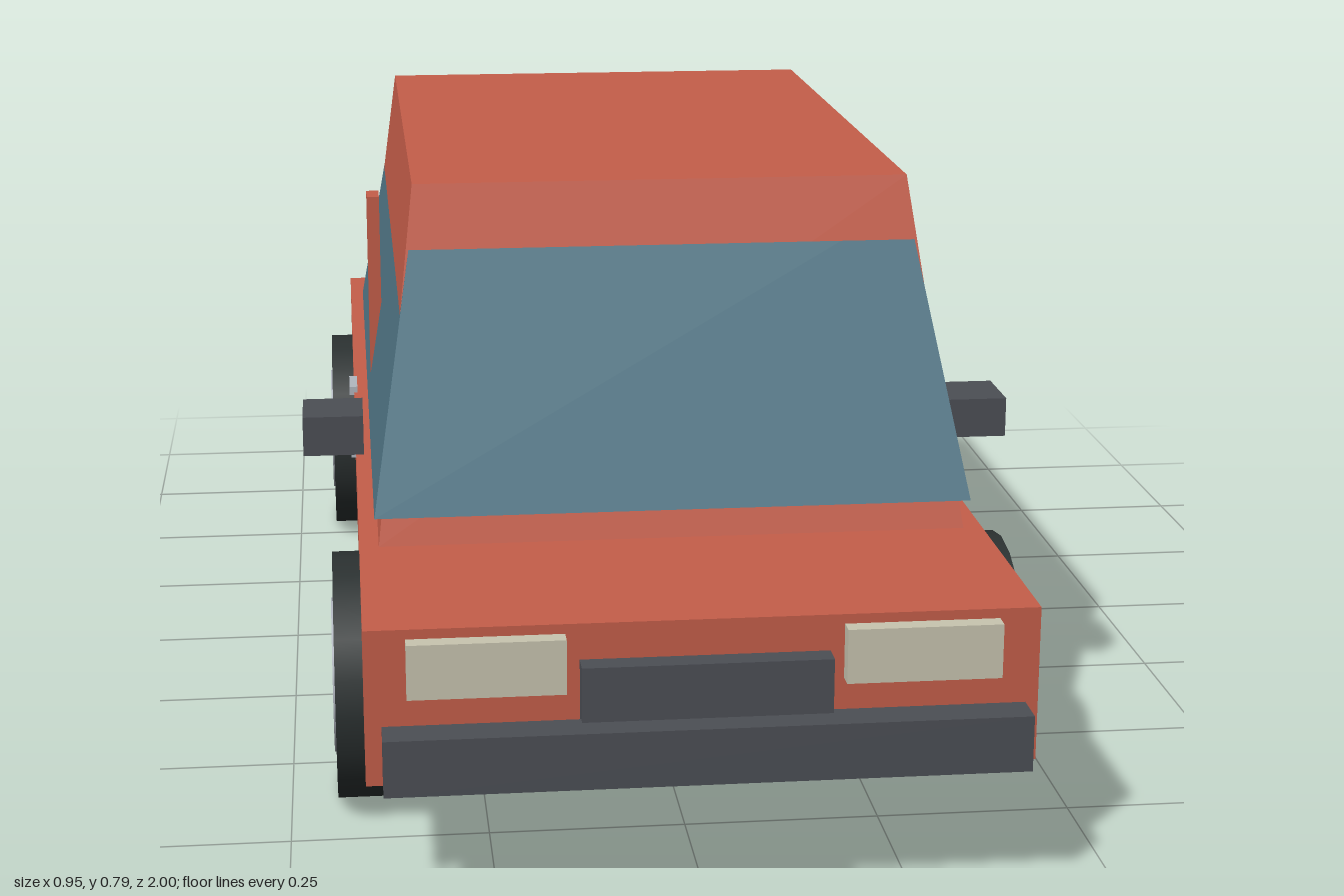
import * as THREE from 'three';

function makeMaterial(name, color) {
  const m = new THREE.MeshStandardMaterial({ color });
  m.name = name;
  return m;
}

export function createModel() {
  const car = new THREE.Group();
  car.name = 'car';

  const paint = makeMaterial('red paint', 0xc55e4a);
  const glass = makeMaterial('blue glass', 0x507686);
  const trim = makeMaterial('dark grey trim', 0x4c4f55);
  const rubber = makeMaterial('tyre rubber', 0x2b3131);
  const silver = makeMaterial('silver', 0xb2b7c0);
  const cream = makeMaterial('headlight cream', 0xc9c5b0);
  const tailRed = makeMaterial('tail light red', 0xb8231a);

  function add(name, geometry, material) {
    const mesh = new THREE.Mesh(geometry, material);
    mesh.name = name;
    car.add(mesh);
    return mesh;
  }

  // Box given by its limits on each axis
  function box(name, material, [x0, x1], [y0, y1], [z0, z1]) {
    const mesh = add(name, new THREE.BoxGeometry(x1 - x0, y1 - y0, z1 - z0), material);
    mesh.position.set((x0 + x1) / 2, (y0 + y1) / 2, (z0 + z1) / 2);
  }

  // Box whose top is narrowed: half sizes at the bottom and at the top
  function taperedBox(name, material, y0, y1, [xb, zb], [xt, zt]) {
    const g = new THREE.BoxGeometry(2, y1 - y0, 2);
    const p = g.attributes.position;
    for (let i = 0; i < p.count; i++) {
      const top = p.getY(i) > 0;
      p.setX(i, p.getX(i) * (top ? xt : xb));
      p.setZ(i, p.getZ(i) * (top ? zt : zb));
    }
    g.computeVertexNormals();
    add(name, g, material).position.y = (y0 + y1) / 2;
  }

  // Body, cabin and the glass band that breaks through the cabin sides
  box('body', paint, [-0.405, 0.405], [0.15, 0.345], [-0.935, 0.935]);
  taperedBox('cabin', paint, 0.345, 0.785, [0.38, 0.625], [0.325, 0.47]);
  taperedBox('windows', glass, 0.387, 0.75, [0.385, 0.64], [0.324, 0.478]);

  // Bumpers and grille
  box('frontBumper', trim, [-0.385, 0.385], [0.162, 0.232], [0.953, 1]);
  box('rearBumper', trim, [-0.385, 0.385], [0.162, 0.232], [-1, -0.953]);
  box('grille', trim, [-0.15, 0.15], [0.2, 0.3], [0.935, 0.965]);

  for (const [side, s] of [['left', 1], ['right', -1]]) {
    // Mirrored x range
    const span = (a, b) => (s > 0 ? [a, b] : [-b, -a]);

    box(side + 'Headlight', cream, span(0.167, 0.355), [0.265, 0.333], [0.93, 0.957]);
    box(side + 'TailLight', tailRed, span(0.228, 0.358), [0.262, 0.333], [-0.957, -0.93]);
    box(side + 'Mirror', trim, span(0.395, 0.475), [0.417, 0.47], [0.357, 0.45]);
    box(side + 'DoorPillar', paint, span(0.362, 0.38), [0.345, 0.682], [-0.024, 0.024]);
    box(side + 'FrontDoorHandle', silver, span(0.4, 0.412), [0.341, 0.354], [0.14, 0.206]);
    box(side + 'RearDoorHandle', silver, span(0.4, 0.412), [0.341, 0.354], [-0.2, -0.134]);

    // Wheels with a hub slightly wider than the tyre
    for (const [end, z] of [['Front', 0.588], ['Rear', -0.588]]) {
      const tyre = add(side + end + 'Tyre', new THREE.CylinderGeometry(0.16, 0.16, 0.1, 20), rubber);
      const hub = add(side + end + 'Hub', new THREE.CylinderGeometry(0.1, 0.1, 0.106, 20), silver);
      for (const part of [tyre, hub]) {
        part.rotation.z = Math.PI / 2;
        part.position.set(s * 0.39, 0.16, z);
      }
    }
  }

  return car;
}
